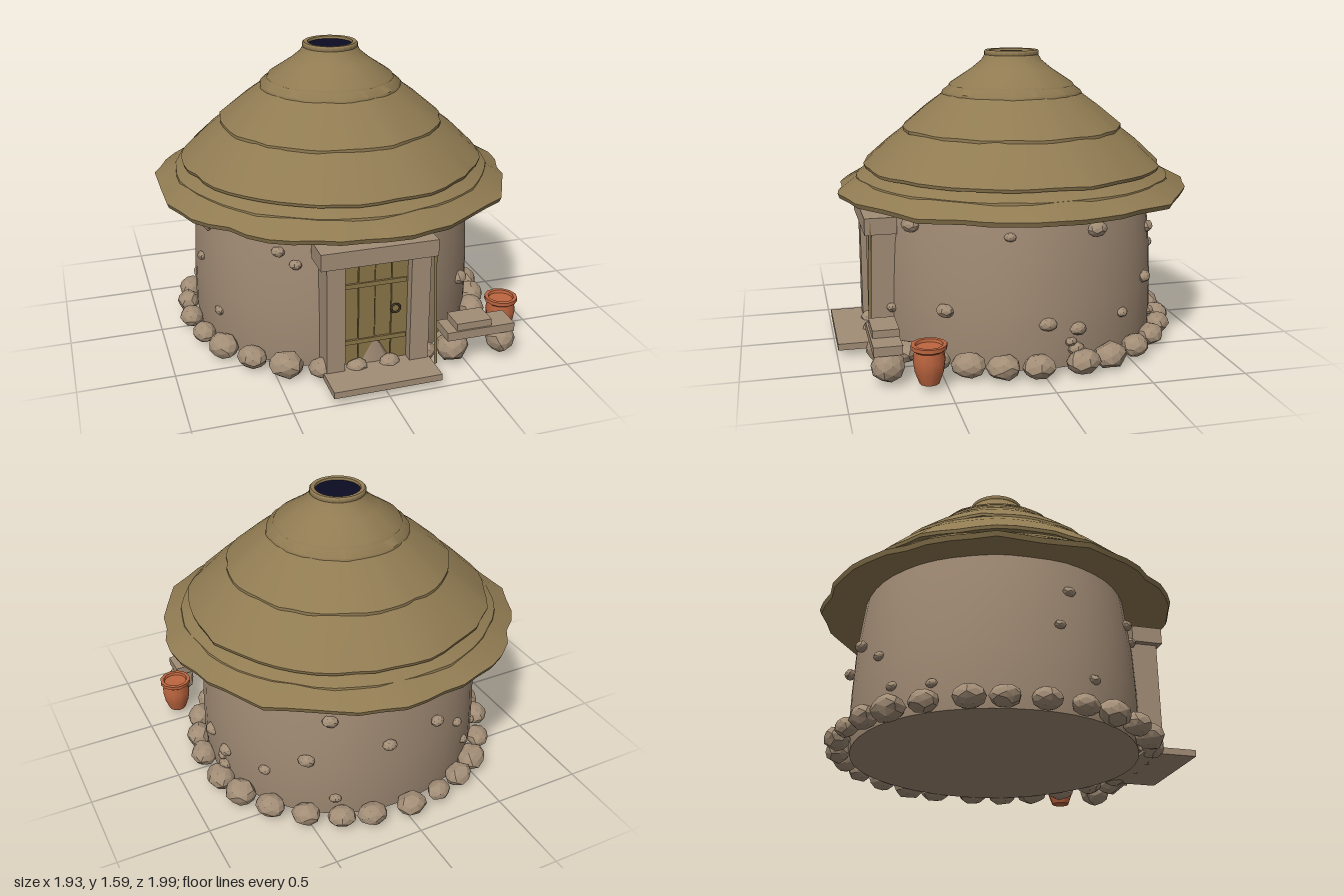
import * as THREE from 'three';
import { toCreasedNormals } from 'three/addons/utils/BufferGeometryUtils.js';

const material = (name, color, extra = {}) => {
  const m = new THREE.MeshStandardMaterial({ color, ...extra });
  m.name = name;
  return m;
};

export function createModel() {
  const group = new THREE.Group();
  const wallMat = material('mud wall', 0xa08a74);
  const stoneMat = material('stone', 0xa28d76, { flatShading: true });
  const thatch = material('thatch', 0x907b52, { side: THREE.DoubleSide });
  const wood = material('door wood', 0x8a7648);
  const iron = material('dark iron', 0x3f3624);
  const clay = material('terracotta', 0xbd653f);
  const soot = material('smoke hole dark', 0x0b0b22);

  let seed = 7;
  const rand = () => (seed = (seed * 16807) % 2147483647) / 2147483647;
  const CZ = -0.03; // depth of the hut's axis

  function add(name, geo, mat, x = 0, y = 0, z = 0, parent = group) {
    const mesh = new THREE.Mesh(geo, mat);
    mesh.name = name;
    mesh.position.set(x, y, z);
    parent.add(mesh);
    return mesh;
  }
  // Box given by its min and max on each axis
  const block = (name, mat, x0, x1, y0, y1, z0, z1) =>
    add(name, new THREE.BoxGeometry(x1 - x0, y1 - y0, z1 - z0), mat, (x0 + x1) / 2, (y0 + y1) / 2, (z0 + z1) / 2);
  const lathe = (pts, n) => new THREE.LatheGeometry(pts.map(p => new THREE.Vector2(...p)), n);

  // Faceted stone with position-based dents
  function stone(name, x, y, z, sx, sy, sz, turn) {
    const geo = new THREE.IcosahedronGeometry(1, 1);
    const p = geo.attributes.position, v = new THREE.Vector3(), k = rand() * 9;
    for (let i = 0; i < p.count; i++) {
      v.fromBufferAttribute(p, i);
      v.multiplyScalar(1 + 0.09 * Math.sin(v.x * 4 + k) * Math.cos(v.y * 3 + v.z * 5 + k));
      p.setXYZ(i, v.x, v.y, v.z);
    }
    geo.computeVertexNormals();
    const m = add(name, geo, stoneMat, x, y, z);
    m.scale.set(sx, sy, sz);
    m.rotation.y = turn;
  }

  // Wall, closed at the bottom, with a slight uneven bulge
  const wall = lathe([[0, 0.03], [0.775, 0.03], [0.785, 0.12], [0.782, 0.35], [0.77, 0.6], [0.745, 0.8], [0.73, 0.9]], 48);
  const wp = wall.attributes.position;
  for (let i = 0; i < wp.count; i++) {
    const a = Math.atan2(wp.getX(i), wp.getZ(i)), s = 1 + 0.006 * Math.sin(a * 5 + 1) - 0.015 * Math.cos(a) ** 2;
    wp.setX(i, wp.getX(i) * s);
    wp.setZ(i, wp.getZ(i) * s);
  }
  add('wall', toCreasedNormals(wall, 0.7), wallMat, 0, 0, CZ);

  // Overlapping thatch layers with ragged lips: profile, raggedness
  const layers = [
    [[[0.7, 0.86], [0.955, 0.82], [0.965, 0.845], [0.86, 0.908], [0.76, 0.975]], 0.016],
    [[[0.82, 0.9], [0.862, 0.902], [0.86, 0.915], [0.74, 0.985]], 0.006],
    [[[0.74, 0.965], [0.815, 0.955], [0.82, 0.972], [0.7, 1.085], [0.55, 1.2]], 0.01],
    [[[0.53, 1.17], [0.605, 1.158], [0.605, 1.174], [0.48, 1.28], [0.33, 1.39]], 0.01],
    [[[0.31, 1.365], [0.385, 1.35], [0.383, 1.363], [0.32, 1.41], [0.27, 1.44]], 0.008],
    [[[0.28, 1.4], [0.345, 1.395], [0.338, 1.407], [0.22, 1.485], [0.165, 1.53], [0.145, 1.565]], 0.004],
  ];
  layers.forEach(([pts, ragged], li) => {
    const geo = lathe(pts, 52), p = geo.attributes.position;
    for (let i = 0; i < p.count; i++) {
      const x = p.getX(i), z = p.getZ(i), a = Math.atan2(x, z), j = i % pts.length;
      const fade = j === 1 || j === 2 ? 1 : 0.35;
      const w = Math.sin(a * 9 + li * 2) + 0.7 * Math.sin(a * 17 + li) + 0.5 * Math.sin(a * 23 + li * 5);
      const s = 1 + ragged * fade * w * 0.75;
      p.setXYZ(i, x * s, p.getY(i) + ragged * 0.25 * fade * Math.sin(a * 13 + li * 3), z * s);
    }
    add('thatchLayer' + (li + 1), toCreasedNormals(geo, 0.8), thatch, 0, 0, -0.02);
  });

  // Smoke hole collar and dark opening
  add('smokeHoleCollar', toCreasedNormals(lathe([[0.14, 1.55], [0.15, 1.56], [0.15, 1.578], [0.143, 1.585], [0.122, 1.583], [0.117, 1.555]], 28), 0.8), thatch, 0, 0, -0.02);
  add('smokeHole', new THREE.CircleGeometry(0.122, 28).rotateX(-Math.PI / 2), soot, 0, 1.57, -0.02);

  // Door frame and threshold
  block('leftPost', stoneMat, 0.172, 0.275, 0.05, 0.67, 0.66, 0.82);
  block('rightPost', stoneMat, -0.275, -0.178, 0.05, 0.67, 0.66, 0.82);
  block('lintel', stoneMat, -0.31, 0.306, 0.66, 0.75, 0.67, 0.84);
  block('threshold', stoneMat, -0.29, 0.285, 0.035, 0.07, 0.7, 0.995);

  // Plank door, cross battens and ring handle
  for (let i = 0; i < 4; i++) {
    const x = -0.18 + i * 0.0885;
    block('doorPlank', wood, x + 0.002, x + 0.0865, 0.07, 0.66, 0.72, 0.762 + (i % 2) * 0.004);
  }
  for (const y of [0.2, 0.52]) block('doorBatten', wood, -0.17, 0.165, y - 0.012, y + 0.012, 0.75, 0.774);
  add('doorHandle', new THREE.TorusGeometry(0.024, 0.006, 6, 16), iron, 0.105, 0.365, 0.778);
  const foot = add('doorFooting', new THREE.ConeGeometry(0.085, 0.15, 8), wallMat, 0, 0.145, 0.763);
  foot.scale.z = 0.2;

  // Staff leaning beside the door
  const staff = add('leaningStaff', new THREE.CylinderGeometry(0.008, 0.009, 0.71, 8), wood, 0.307, 0.39, 0.82);
  staff.rotation.set(-0.03, 0, 0.025);

  // Foundation stones around the wall
  const count = 27;
  for (let i = 0; i < count; i++) {
    const a = ((i + 0.5) / count) * Math.PI * 2 + (rand() - 0.5) * 0.06;
    const atDoor = Math.abs(Math.sin(a)) < 0.25 && Math.cos(a) > 0;
    const s = atDoor ? 0.05 : 0.062 + rand() * 0.024, r = 0.83;
    stone('foundationStone', Math.sin(a) * r, atDoor ? 0.07 : 0.068, CZ + Math.cos(a) * r, s * 1.1, s * 0.8, s * 0.9, a);
  }

  // Stones showing through the plaster: angle in degrees, height, size
  const studs = [
    [-37, 0.67, 0.036], [-30, 0.61, 0.034], [32, 0.73, 0.055], [50, 0.32, 0.048], [20, 0.25, 0.036],
    [-66, 0.23, 0.034], [-80, 0.48, 0.03], [110, 0.73, 0.055], [150, 0.64, 0.044], [141, 0.39, 0.045],
    [89, 0.27, 0.047], [101, 0.23, 0.045], [98, 0.165, 0.032], [100, 0.125, 0.045], [123, 0.255, 0.035],
    [152, 0.15, 0.034], [173, 0.47, 0.04], [195, 0.51, 0.04], [209, 0.39, 0.032], [217, 0.2, 0.032],
    [234, 0.17, 0.03], [285, 0.68, 0.036], [75, 0.72, 0.03],
  ];
  for (const [deg, y, s] of studs) {
    const a = deg * Math.PI / 180, r = y > 0.6 ? 0.76 : 0.782;
    stone('wallStone', Math.sin(a) * r, y, CZ + Math.cos(a) * r, s, s * 0.75, s * 0.75, a);
  }

  // Stone bench
  stone('benchFoot', 0.43, 0.09, 0.78, 0.088, 0.08, 0.08, 0.3);
  stone('benchFoot', 0.705, 0.095, 0.78, 0.085, 0.08, 0.08, 1.2);
  block('benchSlab', stoneMat, 0.37, 0.75, 0.165, 0.213, 0.71, 0.855);
  block('benchTopStone', stoneMat, 0.425, 0.62, 0.213, 0.252, 0.71, 0.845);

  // Clay pot
  const pot = lathe([[0, 0.03], [0.05, 0.03], [0.072, 0.09], [0.081, 0.15], [0.074, 0.198], [0.09, 0.21], [0.09, 0.23], [0.07, 0.23], [0.066, 0.215], [0, 0.21]], 12);
  add('clayPot', toCreasedNormals(pot, 0.7), clay, 0.8, 0, 0.59);

  return group;
}
